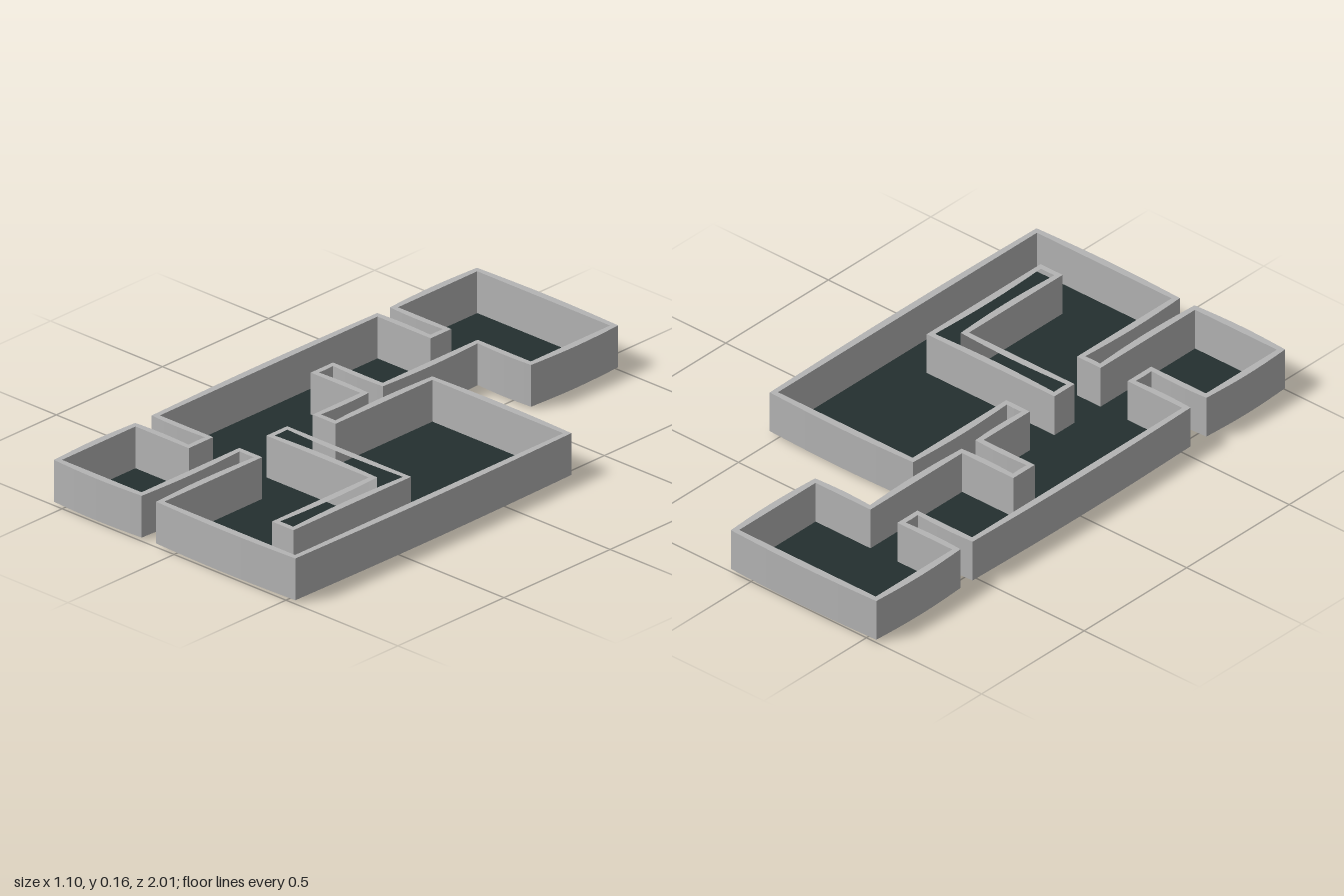
import * as THREE from 'three';

const WALL = 0.019, FLOOR_TOP = 0.01, WALL_TOP = 0.16;

// Floor edge as [x, z], anticlockwise seen from above
const OUTLINE = [
  [-0.523, -0.98], [-0.523, -0.607], [-0.285, -0.607], [-0.285, -0.51],
  [-0.523, -0.51], [-0.523, 0.515], [-0.285, 0.515], [-0.285, 0.63],
  [-0.523, 0.63], [-0.523, 0.976], [-0.168, 0.976], [-0.168, 0.515],
  [-0.066, 0.515], [-0.066, 0.976], [0.518, 0.976], [0.518, -0.287],
  [-0.066, -0.287], [-0.066, 0.17], [-0.168, 0.17], [-0.168, -0.055],
  [-0.39, -0.055], [-0.39, -0.16], [-0.168, -0.16], [-0.168, -0.607],
  [0.07, -0.607], [0.07, -0.98],
];

// L-shaped void between the rooms, clockwise
const VOID = [
  [-0.168, 0.29], [0.386, 0.29], [0.386, 0.845],
  [0.29, 0.845], [0.29, 0.388], [-0.168, 0.388],
];

const toPoints = (list) => list.map(([x, z]) => new THREE.Vector2(x, -z));

// Unit normal pointing away from the floor
const normal = (a, b) => {
  const d = b.clone().sub(a).normalize();
  return new THREE.Vector2(d.y, -d.x);
};

// Moves each edge away from the floor and bows it slightly outward
function bowedOffset(points, distance) {
  const n = points.length;
  const at = (i) => points[(i + n) % n];
  const corners = points.map((p, i) =>
    p.clone()
      .addScaledVector(normal(at(i - 1), p), distance)
      .addScaledVector(normal(p, at(i + 1)), distance));
  const result = [];
  corners.forEach((a, i) => {
    const b = corners[(i + 1) % n];
    const out = normal(a, b);
    const length = a.distanceTo(b);
    const bow = Math.min(0.008, 0.02 * length);
    const steps = length > 0.15 ? 8 : 2;
    for (let s = 0; s < steps; s++) {
      const t = s / steps;
      result.push(a.clone().lerp(b, t).addScaledVector(out, bow * Math.sin(Math.PI * t)));
    }
  });
  return result;
}

function slab(name, contour, hole, bottom, top, material) {
  const shape = new THREE.Shape(contour);
  shape.holes.push(new THREE.Path(hole));
  const geometry = new THREE.ExtrudeGeometry(shape, { depth: top - bottom, bevelEnabled: false });
  geometry.rotateX(-Math.PI / 2);
  geometry.translate(0, bottom, 0);
  const mesh = new THREE.Mesh(geometry, material);
  mesh.name = name;
  return mesh;
}

export function createModel() {
  const wallGrey = new THREE.MeshStandardMaterial({ color: 0xb4b4b4 });
  wallGrey.name = 'wall grey';
  const floorDark = new THREE.MeshStandardMaterial({ color: 0x232f2f });
  floorDark.name = 'dark slate floor';

  const outline = toPoints(OUTLINE);
  const gap = toPoints(VOID);

  const model = new THREE.Group();
  model.name = 'floorPlan';
  model.add(
    slab('floor', outline, gap, 0, FLOOR_TOP, floorDark),
    slab('outerWalls', bowedOffset(outline, WALL), outline, FLOOR_TOP, WALL_TOP, wallGrey),
    slab('innerWalls', gap, bowedOffset(gap, WALL), FLOOR_TOP, WALL_TOP, wallGrey),
  );
  return model;
}
